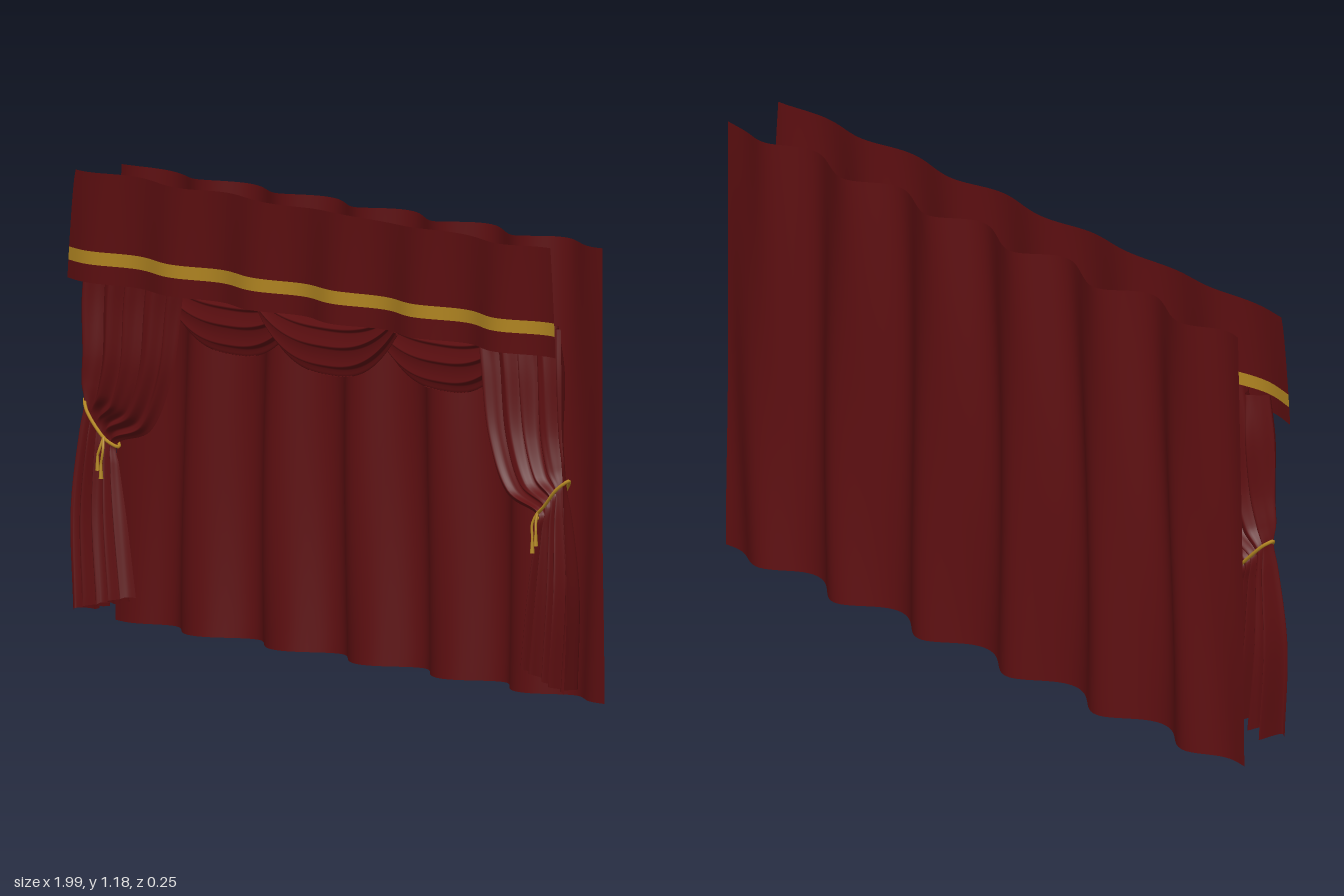
import * as THREE from 'three';

const TAU = Math.PI * 2;
const velvet = new THREE.MeshStandardMaterial({ color: 0x5e0f11, side: THREE.DoubleSide });
velvet.name = 'red velvet';
const gold = new THREE.MeshStandardMaterial({ color: 0xb58822, side: THREE.DoubleSide });
gold.name = 'gold trim';

function mesh(name, geometry, material) {
  const m = new THREE.Mesh(geometry, material);
  m.name = name;
  return m;
}

// Smooth cloth sheet from a rule f(u, v) -> [x, y, z]; v runs downwards
function sheet(f, nu, nv) {
  const pos = [], index = [];
  for (let j = 0; j <= nv; j++) {
    for (let i = 0; i <= nu; i++) pos.push(...f(i / nu, j / nv));
  }
  for (let j = 0; j < nv; j++) {
    for (let i = 0; i < nu; i++) {
      const a = j * (nu + 1) + i, b = a + nu + 1;
      index.push(a, b, a + 1, a + 1, b, b + 1);
    }
  }
  const g = new THREE.BufferGeometry();
  g.setAttribute('position', new THREE.Float32BufferAttribute(pos, 3));
  g.setIndex(index);
  g.computeVertexNormals();
  return g;
}

const lerp = THREE.MathUtils.lerp;

// Full-width backdrop with broad vertical folds
function backdrop(u, v) {
  const x = lerp(lerp(-0.965, -0.99, v), lerp(0.965, 0.975, v), u);
  const fade = Math.min(1, 0.25 + 6 * Math.min(u, 1 - u));
  const phase = TAU * (x + 0.8 + 0.012 * Math.sin(v * 4 + x * 3)) / 0.325;
  const amp = lerp(0.034, 0.042, v) * fade;
  const y = lerp(1.17 + 0.004 * Math.sin(x * 19), 0.003, v);
  return [x, y, -0.078 - amp * Math.cos(phase) + 0.003 * Math.sin(phase * 2 + v * 5)];
}

// Valance across the top: v = 0 at the top, 1 at the lower hem
function valance(u, v) {
  const x = lerp(-0.945 - 0.04 * Math.pow(v, 0.7), 0.952 + 0.013 * v, u);
  const amp = lerp(0.011, 0.019, v) * (0.8 + 0.4 * u);
  const z = 0.096 + 0.005 * u + amp * Math.cos(TAU * (x + 0.2) / 0.33 + 0.4 * v);
  const y = lerp(1.178 + 0.003 * Math.sin(x * 15), 0.897, v) + 0.006 * (u - 0.5) * v;
  return [x, y, z];
}

// Draped swag: folded front, flat back, closed cross-section
function swag(cx, cz, halfWidth) {
  return sheet((u, v) => {
    const t = 2 * u - 1;
    const sag = 1 - Math.pow(Math.abs(t), 2.7);
    const front = v < 0.8;
    const k = front ? v / 0.8 : (1 - v) / 0.2;
    const y = lerp(0.945, 0.875, k) - sag * lerp(0.03, 0.13, k);
    const swell = Math.sin(Math.PI * Math.min(1, 0.15 + 0.85 * k));
    // Pleats deepen sharply along their lower lips
    const saw = k >= 1 ? 0 : Math.pow((k * 3.5) % 1, 2);
    const depth = front ? 0.02 * swell + 0.016 * saw * (0.4 + 0.6 * sag) - 0.008 : -0.024 * swell - 0.006;
    return [cx + t * halfWidth * lerp(1, 0.96, k), y, cz + depth];
  }, 40, 50);
}

// Side drape edges from top to hem: outer (x, y, pleat depth), inner (x, y, middle z)
const outerEdge = new THREE.CatmullRomCurve3([
  [0.95, 0.97, 0.020], [0.96, 0.85, 0.028], [0.962, 0.70, 0.021], [0.968, 0.625, 0.016],
  [0.962, 0.575, 0.012], [0.972, 0.50, 0.021], [0.996, 0.30, 0.032], [0.985, 0.04, 0.037],
].map(p => new THREE.Vector3(...p)));
const innerEdge = new THREE.CatmullRomCurve3([
  [0.585, 0.97, 0.038], [0.605, 0.85, 0.036], [0.638, 0.66, 0.040], [0.715, 0.525, 0.043],
  [0.85, 0.475, 0.043], [0.842, 0.42, 0.043], [0.815, 0.28, 0.044], [0.785, 0.09, 0.043],
].map(p => new THREE.Vector3(...p)));

function sideDrape(s) {
  return sheet((u, v) => {
    const a = outerEdge.getPoint(v), b = innerEdge.getPoint(v);
    const amp = a.z * (1 - 0.45 * u);
    const z = b.z + amp * Math.sin(TAU * 4.5 * u + 0.8) + amp * 0.2 * Math.sin(TAU * 11 * u + 3 * v);
    return [s * lerp(a.x, b.x, u), lerp(a.y, b.y, u) + 0.005 * Math.sin(TAU * 4.5 * u) * v, z];
  }, 80, 70);
}

// Gold cord around the gathered drape, with a hanging tassel
function tieback(s) {
  const g = new THREE.Group();
  const v3 = (x, y, z) => new THREE.Vector3(s * x, y, z);
  const loop = new THREE.CatmullRomCurve3([
    v3(0.97, 0.583, 0.043), v3(0.945, 0.56, 0.062), v3(0.90, 0.515, 0.064), v3(0.86, 0.485, 0.060),
    v3(0.838, 0.472, 0.043), v3(0.86, 0.485, 0.027), v3(0.91, 0.53, 0.022), v3(0.95, 0.568, 0.028),
  ], true);
  g.add(mesh('tiebackCord', new THREE.TubeGeometry(loop, 60, 0.0045, 6, true), gold));
  for (const [dx, end] of [[0, 0.43], [0.014, 0.45]]) {
    const cord = new THREE.CatmullRomCurve3([
      v3(0.872, 0.495, 0.064), v3(0.862 + dx, 0.465, 0.074), v3(0.866 + dx, end, 0.077),
    ]);
    g.add(mesh('tasselCord', new THREE.TubeGeometry(cord, 12, 0.0035, 6), gold));
    const tassel = mesh('tassel', new THREE.CylinderGeometry(0.003, 0.006, 0.04, 8), gold);
    tassel.position.set(s * (0.866 + dx), end - 0.02, 0.077);
    g.add(tassel);
  }
  return g;
}

export function createModel() {
  const model = new THREE.Group();
  model.name = 'stageCurtains';
  model.add(mesh('backCurtain', sheet(backdrop, 160, 24), velvet));

  // Valance in three strips so the trim is its own part; the trim rises slightly to the left
  const bandTop = u => lerp(0.715, 0.685, u), bandBottom = u => lerp(0.835, 0.805, u);
  const strip = (top, bottom) => sheet((u, k) => valance(u, lerp(top(u), bottom(u), k)), 140, 8);
  model.add(mesh('valanceUpper', strip(() => 0, bandTop), velvet));
  model.add(mesh('valanceTrim', strip(bandTop, bandBottom), gold));
  model.add(mesh('valanceHem', strip(bandBottom, () => 1), velvet));

  model.add(mesh('rightSwag', swag(-0.45, -0.008, 0.28), velvet));
  model.add(mesh('centreSwag', swag(-0.01, 0.036, 0.285), velvet));
  model.add(mesh('leftSwag', swag(0.40, -0.008, 0.28), velvet));

  for (const [s, side] of [[1, 'left'], [-1, 'right']]) {
    model.add(mesh(side + 'Drape', sideDrape(s), velvet));
    const tie = tieback(s);
    tie.name = side + 'Tieback';
    model.add(tie);
  }
  return model;
}
